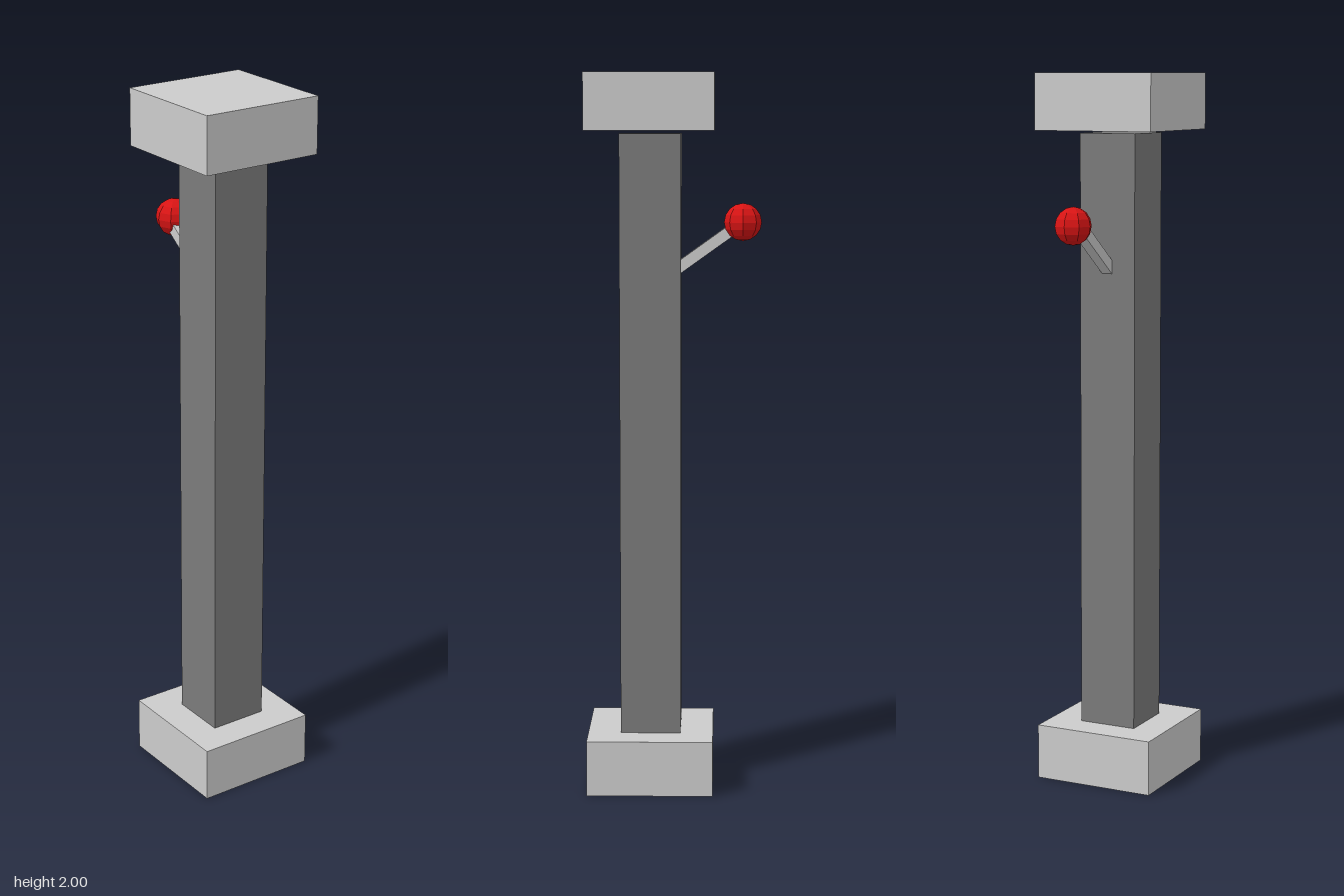
import * as THREE from 'three';

const CENTER_X = 0.065; // pillar axis, offset because the lever sticks out to -x

function material(color) {
  return new THREE.MeshStandardMaterial({ color, flatShading: true });
}

export function createModel() {
  const group = new THREE.Group();
  const grey = material(0xcccccc);
  const darkGrey = material(0x7b7b7b);
  const red = material(0xd81414);

  const add = (name, geometry, mat, x, y, z) => {
    const mesh = new THREE.Mesh(geometry, mat);
    mesh.name = name;
    mesh.position.set(x, y, z);
    group.add(mesh);
    return mesh;
  };

  // Matching square blocks at both ends
  const block = new THREE.BoxGeometry(0.352, 0.156, 0.352);
  add('baseBlock', block, grey, CENTER_X, 0.078, 0);
  add('topBlock', block, grey, CENTER_X, 1.922, 0);

  // Square column, ending just short of the top block
  const bottom = 0.156, top = 1.836;
  add('column', new THREE.BoxGeometry(0.168, top - bottom, 0.168), darkGrey,
    CENTER_X, (bottom + top) / 2, 0);

  // Slanted lever from inside the column up to the knob
  const knob = new THREE.Vector3(-0.19, 1.593, -0.016);
  const root = new THREE.Vector3(0.01, 1.45, 0);
  const dx = knob.x - root.x, dy = knob.y - root.y;
  const lever = add('leverRod', new THREE.BoxGeometry(Math.hypot(dx, dy), 0.031, 0.031), grey,
    (knob.x + root.x) / 2, (knob.y + root.y) / 2, -0.0015);
  lever.rotation.z = Math.atan2(dy, dx);

  // Faceted knob
  add('leverKnob', new THREE.SphereGeometry(0.052, 8, 8), red, knob.x, knob.y, knob.z);

  return group;
}
